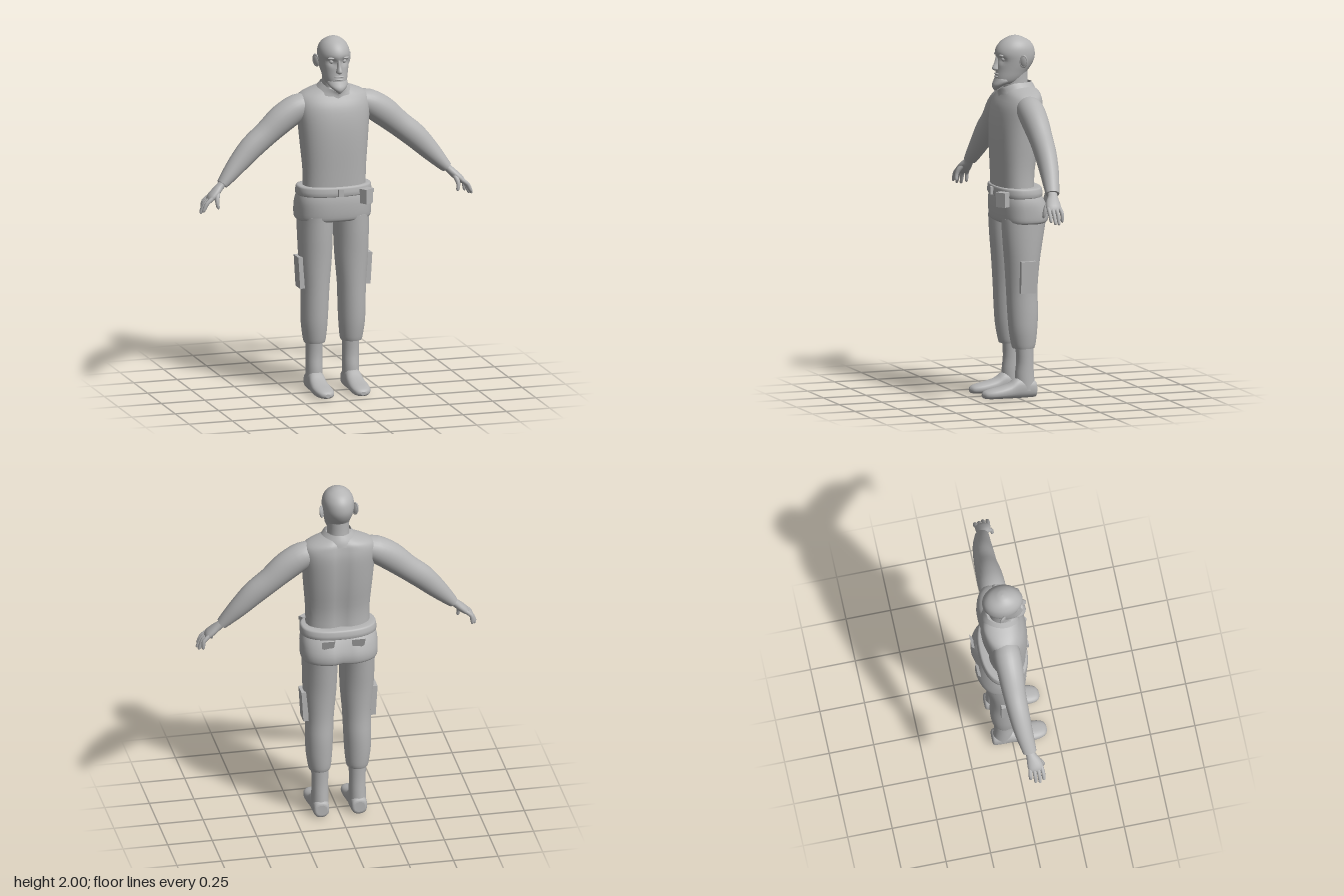
import * as THREE from 'three';

const grey = new THREE.MeshStandardMaterial({ color: 0xb4b4b4, side: THREE.DoubleSide });
grey.name = 'plain grey';

// Catmull-Rom resampling of rows of numbers
function resample(rows, sub) {
  const out = [];
  const at = i => rows[Math.max(0, Math.min(rows.length - 1, i))];
  for (let i = 0; i < rows.length - 1; i++)
    for (let k = 0; k < sub; k++) {
      const t = k / sub;
      out.push(rows[i].map((b, c) => {
        const a = at(i - 1)[c], d = at(i + 1)[c], e = at(i + 2)[c];
        return 0.5 * (2 * b + (d - a) * t + (2 * a - 5 * b + 4 * d - e) * t * t + (3 * b - a - 3 * d + e) * t * t * t);
      }));
    }
  out.push(rows[rows.length - 1]);
  return out;
}

// Skin over superellipse rings; rows are [x, y, z, radiusU, radiusV, exponent]
function loft(rows, { seg = 28, sub = 3, frame = null, warp = null, caps = true } = {}) {
  const R = resample(rows, sub), pos = [], idx = [];
  const Z = new THREE.Vector3(0, 0, 1), V3 = r => new THREE.Vector3(r[0], r[1], r[2]);
  const ring = i => {
    const r = R[i], c = V3(r);
    let U, V;
    if (frame) [U, V] = frame;
    else {
      const T = V3(R[Math.min(i + 1, R.length - 1)]).sub(V3(R[Math.max(i - 1, 0)])).normalize();
      U = T.clone().cross(Z).normalize();
      V = U.clone().cross(T);
    }
    for (let j = 0; j < seg; j++) {
      const a = j / seg * Math.PI * 2, s = Math.sin(a), k = Math.cos(a), e = 2 / (r[5] || 2);
      const p = c.clone()
        .addScaledVector(U, Math.sign(s) * Math.abs(s) ** e * r[3])
        .addScaledVector(V, Math.sign(k) * Math.abs(k) ** e * r[4]);
      if (warp) warp(p);
      pos.push(p.x, p.y, p.z);
    }
  };
  R.forEach((_, i) => ring(i));
  for (let i = 0; i < R.length - 1; i++)
    for (let j = 0; j < seg; j++) {
      const a = i * seg + j, b = i * seg + (j + 1) % seg;
      idx.push(a, b, a + seg, b, b + seg, a + seg);
    }
  if (caps) [0, R.length - 1].forEach((i, end) => {
    const base = pos.length / 3;
    ring(i);
    pos.push(R[i][0], R[i][1], R[i][2]);
    for (let j = 0; j < seg; j++) {
      const a = base + j, b = base + (j + 1) % seg;
      idx.push(base + seg, ...(end ? [a, b] : [b, a]));
    }
  });
  const g = new THREE.BufferGeometry();
  g.setAttribute('position', new THREE.Float32BufferAttribute(pos, 3));
  g.setIndex(idx);
  g.computeVertexNormals();
  return g;
}

const X = new THREE.Vector3(1, 0, 0), Y = new THREE.Vector3(0, 1, 0), Zp = new THREE.Vector3(0, 0, 1);

// Upright skin; rows are [y, centreX, halfWidth, zFront, zBack, exponent]
const stack = (rows, opt = {}) => loft(
  rows.map(([y, x, w, f, b, n = 2]) => [x, y, (f + b) / 2, w, (f - b) / 2, n]), { frame: [X, Zp], ...opt });

const ball = (x, y, z, a, b, c) => new THREE.SphereGeometry(1, 16, 12).scale(a, b, c).translate(x, y, z);

function mirrored(g) {
  const m = g.clone().scale(-1, 1, 1), i = m.index.array;
  for (let k = 0; k < i.length; k += 3) [i[k], i[k + 1]] = [i[k + 1], i[k]];
  return m;
}

export function createModel() {
  const model = new THREE.Group();
  const add = (name, g) => {
    const m = new THREE.Mesh(g, grey);
    m.name = name;
    model.add(m);
  };
  const pair = (name, g) => { add(name + 'Left', g); add(name + 'Right', mirrored(g)); };

  // Shallow spine groove along the back
  const spine = p => { if (p.z < -0.03) p.z += 0.016 * Math.exp(-((p.x / 0.035) ** 2)); };

  // Sweater, collar, hips and belt
  add('sweater', stack([
    [1.12, 0, 0.178, 0.09, -0.12, 2.3], [1.25, 0, 0.178, 0.095, -0.12, 2.3], [1.4, 0, 0.19, 0.102, -0.145, 2.3],
    [1.52, 0, 0.2, 0.1, -0.16, 2.3], [1.61, 0, 0.208, 0.085, -0.165, 2.3], [1.665, 0, 0.198, 0.06, -0.158, 2.3],
    [1.695, 0, 0.155, 0.045, -0.15, 2.2], [1.72, 0, 0.085, 0.03, -0.13, 2]], { seg: 40, warp: spine }));
  const notch = p => { if (p.z > 0) p.y -= 0.4 * p.z * Math.max(0, (p.y - 1.68) / 0.06) + 0.015 * Math.exp(-((p.x / 0.02) ** 2)); };
  add('collar', stack([[1.68, 0, 0.125, 0.065, -0.148], [1.71, 0, 0.098, 0.065, -0.14], [1.742, 0, 0.072, 0.07, -0.122]],
    { caps: false, warp: notch }));
  add('hips', stack([
    [0.972, 0, 0.2, 0.08, -0.18, 2.5], [0.985, 0, 0.212, 0.092, -0.192, 2.5], [1.03, 0, 0.215, 0.098, -0.194, 2.5],
    [1.09, 0, 0.213, 0.098, -0.172, 2.5], [1.14, 0, 0.2, 0.09, -0.145, 2.4]], { seg: 40, warp: spine }));
  add('belt', stack([
    [1.115, 0, 0.2, 0.092, -0.145, 2.4], [1.123, 0, 0.212, 0.104, -0.163, 2.4], [1.16, 0, 0.21, 0.102, -0.158, 2.4],
    [1.17, 0, 0.2, 0.097, -0.148, 2.4], [1.172, 0, 0.17, 0.085, -0.115, 2.4]], { seg: 40, sub: 2 }));
  add('buckle', new THREE.BoxGeometry(0.03, 0.042, 0.02).translate(0, 1.142, 0.108));
  add('beltPouch', new THREE.BoxGeometry(0.058, 0.08, 0.045).rotateY(0.6).translate(0.152, 1.112, 0.098));
  add('pouchFlap', new THREE.BoxGeometry(0.064, 0.022, 0.051).rotateY(0.6).translate(0.152, 1.143, 0.098));

  // Shield-shaped back pockets
  const shield = new THREE.Shape([[-0.038, 0.03], [0.038, 0.03], [0.034, -0.02], [0.012, -0.034], [-0.012, -0.034], [-0.034, -0.02]]
    .map(p => new THREE.Vector2(...p)));
  const pocket = new THREE.ShapeGeometry(shield).rotateY(Math.PI).rotateX(-0.35).translate(0.085, 1.1, -0.18);
  pair('backPocket', pocket);

  // Trouser legs, thigh pockets and boots
  pair('trouserLeg', stack([
    [0.275, 0.106, 0.058, 0.022, -0.1], [0.3, 0.106, 0.064, 0.03, -0.108], [0.38, 0.108, 0.073, 0.044, -0.116],
    [0.48, 0.107, 0.077, 0.052, -0.121], [0.6, 0.105, 0.08, 0.058, -0.118], [0.75, 0.104, 0.092, 0.067, -0.13],
    [0.88, 0.104, 0.097, 0.078, -0.15], [1.0, 0.103, 0.099, 0.085, -0.17]]));
  pair('thighPocket', new THREE.BoxGeometry(0.03, 0.178, 0.086).rotateZ(-0.06).translate(0.193, 0.68, -0.033));
  pair('bootShaft', stack([
    [0.04, 0.106, 0.048, 0.005, -0.106], [0.12, 0.105, 0.047, 0.008, -0.1], [0.2, 0.105, 0.046, 0.0, -0.095],
    [0.29, 0.105, 0.048, 0.005, -0.097]]));
  const sole = p => { p.y = Math.max(p.y, 0); };
  pair('bootFoot', loft([
    [0.106, 0.045, -0.11, 0.03, 0.03, 2.3], [0.106, 0.047, -0.1, 0.043, 0.047, 2.5], [0.106, 0.052, -0.05, 0.047, 0.055, 2.5],
    [0.106, 0.054, 0, 0.048, 0.058, 2.4], [0.107, 0.04, 0.045, 0.051, 0.042, 2.4], [0.107, 0.032, 0.1, 0.055, 0.032, 2.5],
    [0.105, 0.027, 0.15, 0.052, 0.027, 2.5], [0.103, 0.023, 0.185, 0.038, 0.02, 2.4], [0.102, 0.02, 0.198, 0.015, 0.01, 2]],
  { frame: [X, Y.clone().negate()], warp: sole }));

  // Sleeves
  pair('sleeve', loft([
    [0.13, 1.625, -0.045, 0.055, 0.062], [0.2, 1.607, -0.045, 0.075, 0.075], [0.29, 1.55, -0.043, 0.08, 0.072],
    [0.38, 1.474, -0.042, 0.071, 0.064], [0.47, 1.4, -0.036, 0.068, 0.059], [0.55, 1.318, -0.027, 0.056, 0.052],
    [0.61, 1.253, -0.016, 0.042, 0.044], [0.647, 1.213, -0.009, 0.031, 0.038]]));

  // Hands
  pair('palm', loft([
    [0.63, 1.23, -0.01, 0.02, 0.026], [0.662, 1.2, -0.005, 0.022, 0.028], [0.69, 1.173, 0.004, 0.023, 0.039],
    [0.718, 1.147, 0.01, 0.021, 0.043], [0.733, 1.13, 0.011, 0.012, 0.036]], { seg: 18 }));
  [[-0.026, 0.755, 1.075], [-0.001, 0.773, 1.065], [0.022, 0.78, 1.068], [0.045, 0.772, 1.08]].forEach(([z, x, y], i) =>
    pair('finger' + (i + 1), loft([
      [0.712, 1.152, z * 0.85 + 0.002, 0.012, 0.011], [0.748, 1.124, z, 0.012, 0.011],
      [(0.752 + x) / 2, (1.12 + y) / 2, z, 0.011, 0.01], [x, y, z, 0.008, 0.008], [x + 0.003, y - 0.005, z, 0.002, 0.002]],
    { seg: 10, sub: 2 })));
  pair('thumb', loft([
    [0.677, 1.185, 0.012, 0.014, 0.013], [0.69, 1.155, 0.04, 0.014, 0.014], [0.695, 1.125, 0.054, 0.011, 0.011],
    [0.69, 1.097, 0.058, 0.009, 0.009], [0.688, 1.089, 0.058, 0.002, 0.002]], { seg: 10, sub: 2 }));

  // Head with sunken eye sockets
  const sockets = p => {
    if (p.z > 0.02) p.z -= 0.016 * Math.exp(-(((Math.abs(p.x) - 0.036) / 0.02) ** 2) - ((p.y - 1.872) / 0.018) ** 2);
  };
  add('head', stack([
    [1.735, 0, 0.042, 0.078, -0.02, 2], [1.75, 0, 0.056, 0.086, -0.055, 2], [1.775, 0, 0.066, 0.085, -0.08, 2],
    [1.805, 0, 0.073, 0.08, -0.1, 2], [1.835, 0, 0.08, 0.077, -0.122, 2], [1.87, 0, 0.086, 0.077, -0.138, 2],
    [1.905, 0, 0.088, 0.085, -0.141, 2], [1.94, 0, 0.082, 0.074, -0.132, 2], [1.97, 0, 0.064, 0.048, -0.107, 2],
    [1.99, 0, 0.038, 0.013, -0.069, 2], [1.997, 0, 0.02, -0.008, -0.05, 2], [2.0, 0, 0.002, -0.027, -0.031, 2]],
  { seg: 40, warp: sockets }));
  add('neck', stack([[1.66, 0, 0.066, 0.035, -0.11], [1.74, 0, 0.06, 0.035, -0.1], [1.82, 0, 0.06, 0.03, -0.1]]));
  add('nose', stack([
    [1.808, 0, 0.008, 0.09, 0.06], [1.815, 0, 0.018, 0.103, 0.05], [1.826, 0, 0.016, 0.105, 0.05],
    [1.85, 0, 0.011, 0.093, 0.05], [1.885, 0, 0.009, 0.083, 0.05]], { seg: 14 }));
  pair('eye', ball(0.036, 1.874, 0.052, 0.013, 0.012, 0.012));
  pair('brow', ball(0.036, 1.895, 0.066, 0.026, 0.007, 0.011).rotateY(0));
  add('upperLip', ball(0, 1.79, 0.078, 0.028, 0.006, 0.01));
  add('lowerLip', ball(0, 1.775, 0.079, 0.024, 0.006, 0.011));

  // Chin beard
  add('beard', stack([
    [1.698, 0, 0.006, 0.092, 0.08], [1.715, 0, 0.026, 0.102, 0.058], [1.732, 0, 0.046, 0.101, 0.03],
    [1.75, 0, 0.058, 0.093, 0.0], [1.765, 0, 0.056, 0.086, 0.0]], { seg: 20 }));

  // Ears: angled shell with a raised rim
  const ear = g => g.rotateY(0.95).rotateZ(-0.12).translate(0.094, 1.865, -0.045);
  pair('earShell', ear(new THREE.SphereGeometry(1, 16, 12).scale(0.02, 0.032, 0.008)));
  pair('earRim', ear(new THREE.TorusGeometry(0.02, 0.005, 8, 20).scale(0.95, 1.5, 1)));
  return model;
}
